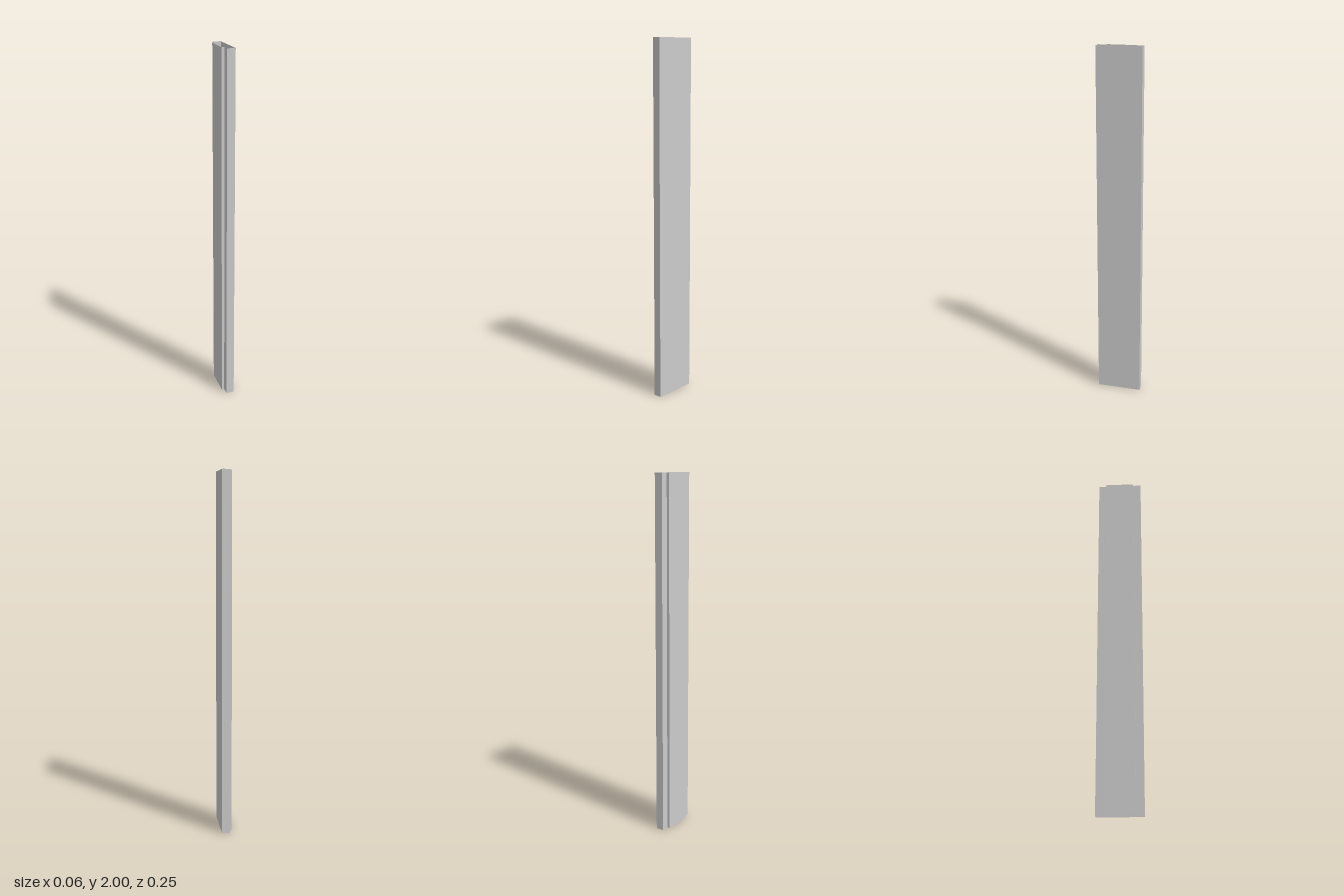
import * as THREE from 'three';

// Hollow double-rabbet frame post: folded thin sheet, open at both ends.
export function createModel() {
  const group = new THREE.Group();
  group.name = 'framePost';
  const material = new THREE.MeshStandardMaterial({ color: 0xcccccc, side: THREE.DoubleSide });

  const height = 2;
  const halfWidth = 0.03;   // x
  const halfDepth = 0.125;  // z
  const ledgeX = -0.015;    // depth of the rabbets
  const stopZ = 0.082;      // half width of the raised stop

  // Section corners [name of the wall starting here, x, z], walked so walls face outward
  const section = [
    ['frontFace', ledgeX, halfDepth],
    ['flatSide', halfWidth, halfDepth],
    ['backFace', halfWidth, -halfDepth],
    ['backRabbet', ledgeX, -halfDepth],
    ['backStopEdge', ledgeX, -stopZ],
    ['stopFace', -halfWidth, -stopZ],
    ['frontStopEdge', -halfWidth, stopZ],
    ['frontRabbet', ledgeX, stopZ],
  ];

  section.forEach(([name, x, z], i) => {
    const [, nextX, nextZ] = section[(i + 1) % section.length];
    const dx = nextX - x, dz = nextZ - z;
    const wall = new THREE.Mesh(new THREE.PlaneGeometry(Math.hypot(dx, dz), height), material);
    wall.name = name;
    wall.position.set(x + dx / 2, height / 2, z + dz / 2);
    wall.rotation.y = Math.atan2(-dz, dx);
    group.add(wall);
  });

  return group;
}
